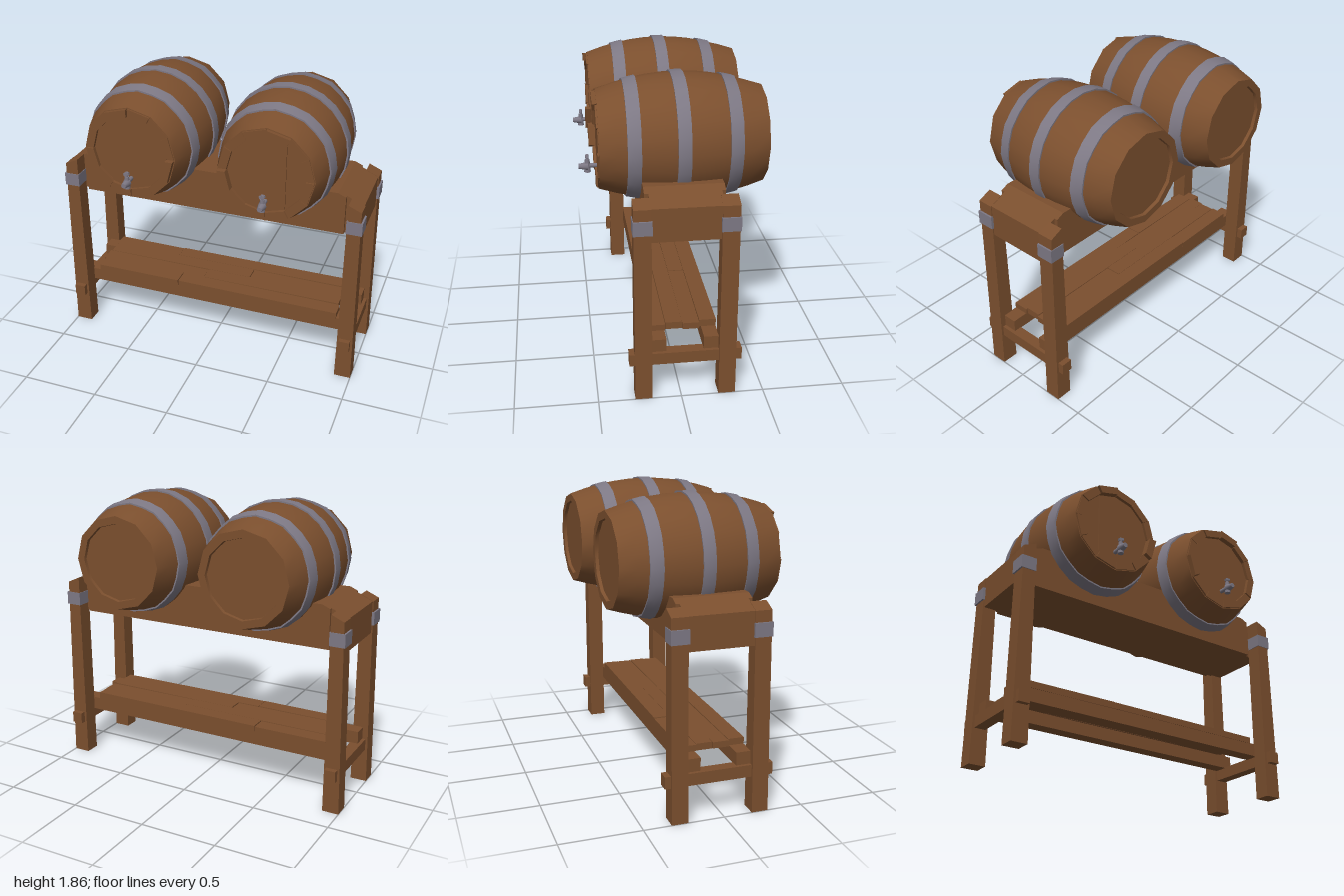
import * as THREE from 'three';
import { toCreasedNormals } from 'three/addons/utils/BufferGeometryUtils.js';

const wood = new THREE.MeshStandardMaterial({ color: 0x7b4f2e });
wood.name = 'brown wood';
const iron = new THREE.MeshStandardMaterial({ color: 0x7d7884 });
iron.name = 'grey iron';

function add(parent, name, geometry, material, x = 0, y = 0, z = 0) {
  const mesh = new THREE.Mesh(geometry, material);
  mesh.name = name;
  mesh.position.set(x, y, z);
  parent.add(mesh);
  return mesh;
}

// Box given by its limits on each axis
function box(parent, name, material, x0, x1, y0, y1, z0, z1) {
  return add(parent, name, new THREE.BoxGeometry(x1 - x0, y1 - y0, z1 - z0), material,
    (x0 + x1) / 2, (y0 + y1) / 2, (z0 + z1) / 2);
}

// Flat outline in x, y extruded from z0 to z1
function plate(parent, name, points, z0, z1) {
  const shape = new THREE.Shape(points.map(([x, y]) => new THREE.Vector2(x, y)));
  const geometry = new THREE.ExtrudeGeometry(shape, { depth: z1 - z0, bevelEnabled: false });
  return add(parent, name, geometry, wood, 0, 0, z0);
}

const MID = -0.045;
const bulge = (z) => ((z - MID) / 0.5) ** 2;
const barrelRadius = (z) => 0.382 - 0.087 * bulge(z);

// Lathe along z: round at the belly, twelve-sided at the ends
function staveLathe(profile) {
  const geometry = new THREE.LatheGeometry(profile.map(([r, z]) => new THREE.Vector2(r, z)), 24);
  const p = geometry.attributes.position;
  for (let i = 0; i < p.count; i++) {
    const step = Math.round(Math.atan2(p.getX(i), p.getZ(i)) / (Math.PI / 12));
    if (step % 2 === 0) continue;
    const f = 1 - Math.min(1, bulge(p.getY(i))) * (1 - Math.cos(Math.PI / 12));
    p.setXYZ(i, p.getX(i) * f, p.getY(i), p.getZ(i) * f);
  }
  geometry.rotateX(Math.PI / 2);
  return toCreasedNormals(geometry, 0.6);
}

function makeTap() {
  const tap = new THREE.Group();
  tap.name = 'tap';
  const along = (r0, r1, len) => new THREE.CylinderGeometry(r1, r0, len, 8).rotateX(Math.PI / 2);
  add(tap, 'tapPipe', along(0.014, 0.014, 0.07), iron, 0, 0, 0.46);
  add(tap, 'tapNozzle', along(0.027, 0.016, 0.055), iron, 0, -0.003, 0.522);
  add(tap, 'tapValve', new THREE.CylinderGeometry(0.014, 0.02, 0.08, 8), iron, 0, 0, 0.497);
  add(tap, 'tapStem', new THREE.CylinderGeometry(0.009, 0.009, 0.04, 8), iron, 0, 0.05, 0.497);
  const handle = add(tap, 'tapHandle', new THREE.BoxGeometry(0.035, 0.016, 0.016), iron, 0, 0.058, 0.5);
  handle.rotation.z = 0.3;
  return tap;
}

// side is -1 or 1; the front details mirror with it
function makeBarrel(side) {
  const barrel = new THREE.Group();
  barrel.name = side > 0 ? 'leftBarrel' : 'rightBarrel';

  // Staves with a recessed head at each end
  const profile = [[0, -0.525], [0.243, -0.525], [0.247, -0.545]];
  for (let i = 0; i <= 10; i++) {
    const z = -0.545 + i * 0.0985;
    profile.push([barrelRadius(z), z]);
  }
  profile.push([0.247, 0.44], [0.243, 0.425], [0, 0.425]);
  add(barrel, 'barrelBody', staveLathe(profile), wood);

  // Iron hoops
  for (const [z0, z1] of [[-0.38, -0.302], [-0.075, 0.002], [0.205, 0.283]]) {
    const a = barrelRadius(z0), b = barrelRadius(z1), m = barrelRadius((z0 + z1) / 2);
    const ring = [[a - 0.02, z0], [a + 0.009, z0], [m + 0.009, (z0 + z1) / 2], [b + 0.009, z1], [b - 0.02, z1]];
    add(barrel, 'hoop', staveLathe(ring), iron);
  }

  // Uneven stave ends around the front rim
  const polar = (r, angle) => [side * -r * Math.cos(angle), r * Math.sin(angle)];
  const ends = [0.448, 0.446, 0.452, 0.466, 0.451, 0.446, 0.45, 0.446, 0.451, 0.447, 0.452, 0.475];
  ends.forEach((z1, k) => {
    const a = (k * Math.PI) / 6 + 0.008, b = ((k + 1) * Math.PI) / 6 - 0.008;
    plate(barrel, 'staveEnd', [polar(0.243, a), polar(0.294, a), polar(0.294, b), polar(0.243, b)], 0.42, z1);
  });

  // Wider plank of the front head
  const head = [];
  for (let k = -4; k <= 4; k++) head.push(polar(0.24, (k * Math.PI) / 6));
  plate(barrel, 'headPlank', head, 0.42, 0.434);

  const tap = makeTap();
  tap.position.y = -0.17;
  barrel.add(tap);
  barrel.position.set(side * 0.435, 1.468, 0);
  return barrel;
}

// Leg tapered towards the top, its top face falling outwards
function makeLeg(side, z) {
  const geometry = new THREE.BoxGeometry(1, 1, 0.102);
  const p = geometry.attributes.position;
  for (let i = 0; i < p.count; i++) {
    const top = p.getY(i) > 0, outer = p.getX(i) * side > 0;
    const x = outer ? (top ? 0.985 : 1) : (top ? 0.902 : 0.893);
    p.setXYZ(i, side * x, top ? (outer ? 1.235 : 1.272) : 0, p.getZ(i) + z);
  }
  geometry.computeVertexNormals();
  return geometry;
}

export function createModel() {
  const model = new THREE.Group();
  model.name = 'barrelRack';

  for (const side of [-1, 1]) {
    model.add(makeBarrel(side));
    for (const z of [0.227, -0.277]) {
      add(model, 'leg', makeLeg(side, z), wood);
      add(model, 'legBracket', new THREE.BoxGeometry(0.1, 0.085, 0.112), iron, side * 0.947, 1.123, z);
    }
    // Through stretcher joining front and back legs
    add(model, 'stretcher', new THREE.BoxGeometry(0.072, 0.075, 0.675), wood, side * 0.946, 0.262, -0.027);
  }

  // Cradle beam with sloping shoulders, wider between the legs
  const beam = (w, yEnd) => [[-w, 1.03], [w, 1.03], [w, yEnd], [0.82, 1.305], [-0.82, 1.305], [-w, yEnd]];
  plate(model, 'cradleBeam', beam(0.98, 1.235), -0.24, 0.18);
  plate(model, 'cradleCore', beam(0.87, 1.283), -0.262, 0.205);

  // Shelf rails
  for (const [z0, z1] of [[0.087, 0.18], [-0.228, -0.138]]) {
    box(model, 'shelfRail', wood, -0.96, 0.96, 0.295, 0.38, z0, z1);
  }

  // Shelf boards of uneven length and height
  const rows = [[-0.86, -0.37, 0.845], [-0.85, 0.2, 0.86], [-0.86, -0.1, 0.85], [-0.845, -0.25, 0.86]];
  rows.forEach((cuts, r) => {
    const z0 = -0.23 + r * 0.1035;
    for (let i = 0; i < 2; i++) {
      const board = box(model, 'shelfBoard', wood, cuts[i] + 0.002, cuts[i + 1] - 0.002,
        0.379, 0.418 + ((r * 2 + i * 3) % 4) * 0.002, z0 + 0.001, z0 + 0.1025);
      board.rotation.z = 0.003 * ((r + i) % 2 ? 1 : -1);
    }
  });

  return model;
}
